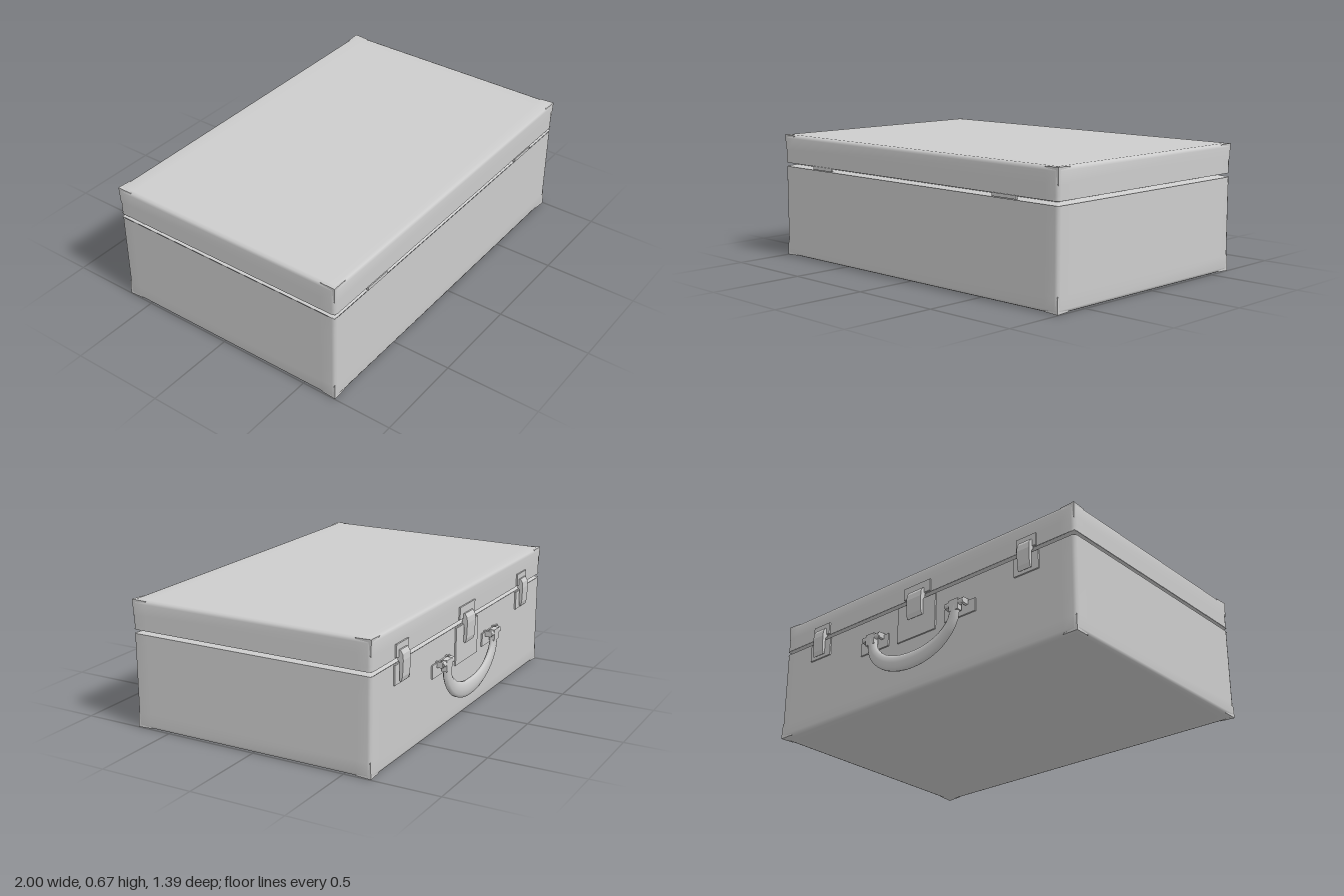
import * as THREE from 'three';
import { mergeVertices } from 'three/addons/utils/BufferGeometryUtils.js';
import { ConvexGeometry } from 'three/addons/geometries/ConvexGeometry.js';

const HX = 1, HZ = 0.667, CZ = 0.023;   // case half sizes and its z offset
const BACK = -0.644;                     // plane of the hardware side
const grey = new THREE.MeshStandardMaterial({ color: 0xcccccc });
grey.name = 'grey metal';

// Half shell with tight edge loops, softly shaded edges and one open side
function shell(ys, openGroup) {
  const geo = new THREE.BoxGeometry(1, 1, 1, 5, 5, 5);
  const loops = h => [-h, -h + 0.02, -h + 0.08, h - 0.08, h - 0.02, h];
  const xs = loops(HX), zs = loops(HZ);
  const closed = openGroup === 2 ? 0 : 5;
  const p = geo.attributes.position;
  for (let i = 0; i < p.count; i++) {
    const ix = Math.round((p.getX(i) + 0.5) * 5);
    const iy = Math.round((p.getY(i) + 0.5) * 5);
    const iz = Math.round((p.getZ(i) + 0.5) * 5);
    const ends = [ix % 5 === 0, iy === closed, iz % 5 === 0];
    const pull = ends.filter(Boolean).length > 1 ? 0.006 : 0;
    p.setXYZ(i,
      xs[ix] - (ends[0] ? Math.sign(xs[ix]) * pull : 0),
      ys[iy] + (ends[1] ? (closed ? -pull : pull) : 0),
      zs[iz] - (ends[2] ? Math.sign(zs[iz]) * pull : 0) + CZ);
  }
  const g = geo.groups[openGroup];
  geo.setIndex(Array.from(geo.index.array).filter((_, i) => i < g.start || i >= g.start + g.count));
  geo.clearGroups();
  geo.deleteAttribute('uv');
  geo.deleteAttribute('normal');
  const merged = mergeVertices(geo);
  merged.computeVertexNormals();
  return merged;
}

// Sloping rim that forms one side of the seam groove
function lip(y0, y1, narrowTop) {
  const geo = new THREE.BoxGeometry(2 * HX - 0.004, y1 - y0, 2 * HZ - 0.004);
  const p = geo.attributes.position;
  for (let i = 0; i < p.count; i++) {
    if ((p.getY(i) > 0) !== narrowTop) continue;
    p.setX(i, p.getX(i) - Math.sign(p.getX(i)) * 0.04);
    p.setZ(i, p.getZ(i) - Math.sign(p.getZ(i)) * 0.04);
  }
  geo.computeVertexNormals();
  geo.translate(0, (y0 + y1) / 2, CZ);
  return geo;
}

// Latch lever: side profile (depth, height) extruded across its width
function lever(width, top) {
  const s = new THREE.Shape([
    [0.644, 0], [0.660, 0], [0.672, -0.02], [0.675, -0.05], [0.672, -0.13],
    [0.664, -0.155], [0.656, -0.15], [0.656, -0.06], [0.644, -0.05],
  ].map(([d, y]) => new THREE.Vector2(d, y + top)));
  const geo = new THREE.ExtrudeGeometry(s, { depth: width, bevelEnabled: false });
  geo.translate(0, 0, -width / 2);
  geo.rotateY(Math.PI / 2);
  return geo;
}

export function createModel() {
  const model = new THREE.Group();
  model.name = 'briefcase';
  const add = (name, geo, x = 0, y = 0, z = 0) => {
    const m = new THREE.Mesh(geo, grey);
    m.name = name;
    m.position.set(x, y, z);
    model.add(m);
    return m;
  };
  const box = (name, w, h, d, x, y, z) => add(name, new THREE.BoxGeometry(w, h, d), x, y, z);
  const plate = (name, w, y0, y1, x) => box(name, w, y1 - y0, 0.008, x, (y0 + y1) / 2, BACK - 0.004);

  // Case halves and the groove between them
  add('caseBody', shell([0, 0.02, 0.08, 0.25, 0.4, 0.495], 2));
  add('caseLid', shell([0.515, 0.54, 0.56, 0.59, 0.65, 0.67], 3));
  add('bodyRim', lip(0.494, 0.504, true));
  add('lidRim', lip(0.509, 0.516, false));
  box('seamFiller', 2 * HX - 0.09, 0.03, 2 * HZ - 0.09, 0, 0.505, CZ);

  // Corner guards
  for (const sx of [-1, 1]) for (const sz of [-1, 1]) for (const sy of [-1, 1]) {
    const x = sx * HX, y = sy < 0 ? 0 : 0.67, z = CZ + sz * HZ, L = 0.085, e = 0.004;
    const v = (a, b, c) => new THREE.Vector3(x - sx * a, y - sy * b, z - sz * c);
    add('cornerGuard', new ConvexGeometry([
      v(0.001, 0.001, 0.001), v(L, e, e), v(e, L, e), v(e, e, L),
    ]));
  }

  for (const s of [-1, 1]) {
    // Hinges on the front
    box('hinge', 0.155, 0.018, 0.012, s * 0.67, 0.508, 0.689);

    // Side latches
    plate('latchUpperPlate', 0.12, 0.52, 0.585, s * 0.715);
    plate('latchLowerPlate', 0.15, 0.39, 0.488, s * 0.715);
    add('latchLever', lever(0.075, 0.555), s * 0.715);

    // Handle mounts
    plate('handlePlate', 0.2, 0.3, 0.37, s * 0.295);
    box('handleBracket', 0.016, 0.03, 0.04, s * 0.342, 0.362, BACK - 0.02);
    box('handleBracket', 0.016, 0.03, 0.04, s * 0.235, 0.362, BACK - 0.02);
    const pin = add('handlePin', new THREE.CylinderGeometry(0.016, 0.016, 0.12, 10),
      s * 0.289, 0.362, -0.677);
    pin.rotation.z = Math.PI / 2;
    box('handleLoop', 0.06, 0.06, 0.03, s * 0.289, 0.35, -0.678);
  }

  // Centre clasp
  plate('claspUpperPlate', 0.18, 0.52, 0.585, 0);
  plate('claspLowerPlate', 0.26, 0.29, 0.488, 0);
  add('claspLever', lever(0.1, 0.545));

  // Curved grip: a flattened tube, slimmer towards its ends
  const path = new THREE.CatmullRomCurve3(
    [[-0.29, 0.35], [-0.27, 0.27], [-0.2, 0.2], [-0.1, 0.16], [0, 0.15],
      [0.1, 0.16], [0.2, 0.2], [0.27, 0.27], [0.29, 0.35]]
      .map(([x, y]) => new THREE.Vector3(x, y, 0)));
  const SEG = 24, RAD = 10;
  const grip = new THREE.TubeGeometry(path, SEG, 0.045, RAD);
  const p = grip.attributes.position;
  for (let i = 0; i < p.count; i++) {
    const t = Math.floor(i / (RAD + 1)) / SEG;
    const c = path.getPointAt(t);
    const k = 0.62 + 0.38 * Math.sin(Math.PI * t);
    p.setXYZ(i, c.x + (p.getX(i) - c.x) * k, c.y + (p.getY(i) - c.y) * k, p.getZ(i) * 0.4);
  }
  grip.computeVertexNormals();
  add('handleGrip', grip, 0, 0, -0.677);

  return model;
}
